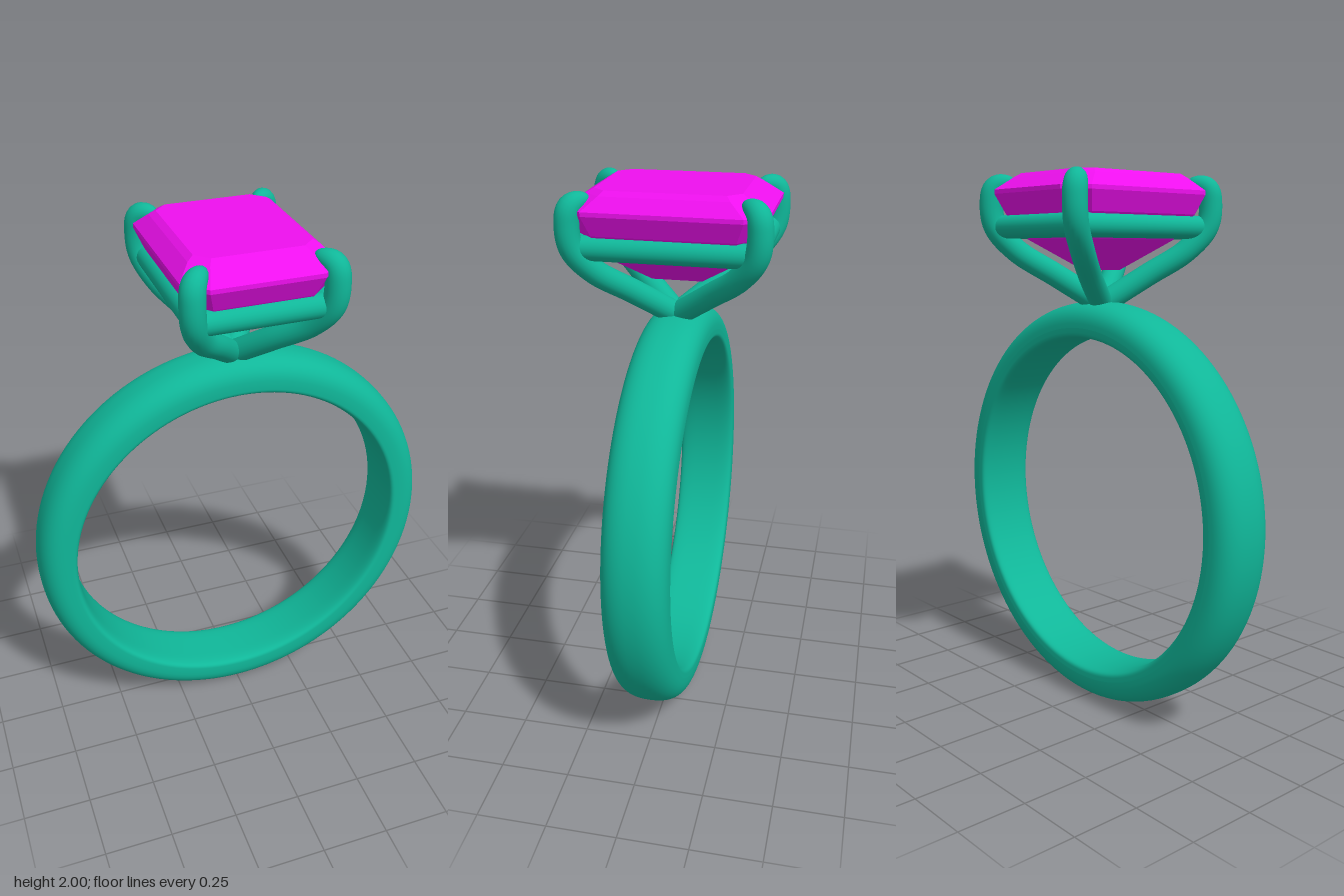
import * as THREE from 'three';
import { mergeVertices } from 'three/addons/utils/BufferGeometryUtils.js';

const metal = new THREE.MeshStandardMaterial({ color: 0x10b799 });
const gem = new THREE.MeshStandardMaterial({ color: 0xee10ee, flatShading: true });

function add(parent, name, geometry, material) {
  const mesh = new THREE.Mesh(geometry, material);
  mesh.name = name;
  parent.add(mesh);
  return mesh;
}

// Band section: domed outside, nearly flat inside with small fillets
function bandGeometry() {
  const points = [];
  const power = (v, n) => Math.sign(v) * Math.pow(Math.abs(v), 2 / n);
  const steps = 56;
  for (let i = 0; i <= steps; i++) {
    const a = (i / steps) * Math.PI * 2;
    const s = i % (steps / 2) === 0 ? 0 : Math.sin(a);
    const outer = s >= 0;
    const n = outer ? 2.5 : 5;
    points.push(new THREE.Vector2(
      0.675 + (outer ? 0.095 : 0.04) * power(s, n),
      -0.115 * power(Math.cos(a), n)));
  }
  return new THREE.LatheGeometry(points, 128).rotateX(Math.PI / 2);
}

// Tube whose radius follows a rule along its length
function taperedTube(curve, segments, radiusAt) {
  const sides = 20;
  const g = new THREE.TubeGeometry(curve, segments, 1, sides);
  const pos = g.attributes.position;
  const v = new THREE.Vector3();
  for (let i = 0; i <= segments; i++) {
    const c = curve.getPointAt(i / segments);
    for (let j = 0; j <= sides; j++) {
      const k = i * (sides + 1) + j;
      v.fromBufferAttribute(pos, k).sub(c).multiplyScalar(radiusAt(i / segments)).add(c);
      pos.setXYZ(k, v.x, v.y, v.z);
    }
  }
  g.deleteAttribute('uv');
  g.deleteAttribute('normal');
  const merged = mergeVertices(g, 1e-5);
  merged.computeVertexNormals();
  return merged;
}

// Step-cut stone from stacked rectangles with cut corners
function stoneGeometry() {
  // height, half width, half depth, corner cut
  const rows = [
    [2.0, 0.2, 0.25, 0.045],
    [1.985, 0.222, 0.275, 0.055],
    [1.94, 0.265, 0.345, 0.075],
    [1.925, 0.265, 0.345, 0.075],
    [1.855, 0.235, 0.31, 0.065],
    [1.765, 0.165, 0.25, 0.045],
    [1.655, 0, 0.09, 0],
  ];
  const loops = rows.map(([y, x, z, c]) => [
    [x - c, z], [x, z - c], [x, c - z], [x - c, -z],
    [c - x, -z], [-x, c - z], [-x, z - c], [c - x, z],
  ].map(([px, pz]) => [px, y, pz]));
  const out = [];
  for (let i = 0; i < 8; i++) {
    const j = (i + 1) % 8;
    out.push(0, rows[0][0], 0, ...loops[0][i], ...loops[0][j]);
    for (let r = 0; r < rows.length - 1; r++) {
      const u = loops[r], l = loops[r + 1];
      out.push(...l[i], ...l[j], ...u[j], ...l[i], ...u[j], ...u[i]);
    }
  }
  const g = new THREE.BufferGeometry();
  g.setAttribute('position', new THREE.Float32BufferAttribute(out, 3));
  g.computeVertexNormals();
  return g;
}

export function createModel() {
  const model = new THREE.Group();
  model.name = 'ring';

  const band = add(model, 'band', bandGeometry(), metal);
  band.position.y = 0.77;

  add(model, 'stone', stoneGeometry(), gem);

  const setting = new THREE.Group();
  setting.name = 'setting';
  model.add(setting);

  // Four claws sweep up from the band and fold over the stone's corners
  const path = [
    [0, 1.53, 0], [0.1, 1.637, 0.14], [0.19, 1.725, 0.25], [0.234, 1.81, 0.312],
    [0.241, 1.89, 0.323], [0.232, 1.95, 0.312], [0.182, 1.975, 0.258],
  ];
  const clawRadius = (t) => {
    if (t < 0.84) return 0.043;
    const k = (t - 0.84) / 0.16;
    return 0.043 * Math.sqrt(Math.max(1 - k * k, 0.0004));
  };
  for (const sx of [1, -1]) {
    for (const sz of [1, -1]) {
      const curve = new THREE.CatmullRomCurve3(
        path.map(([x, y, z]) => new THREE.Vector3(sx * x, y, sz * z)));
      const name = (sz > 0 ? 'front' : 'back') + (sx > 0 ? 'Left' : 'Right') + 'Claw';
      add(setting, name, taperedTube(curve, 72, clawRadius), metal);
    }
  }

  // Rectangular gallery rail joining the claws beneath the stone
  for (const s of [1, -1]) {
    const cross = add(setting, s > 0 ? 'frontRail' : 'backRail',
      new THREE.CylinderGeometry(0.042, 0.042, 0.44, 24).rotateZ(Math.PI / 2), metal);
    cross.position.set(0, 1.81, s * 0.295);
    const side = add(setting, s > 0 ? 'leftRail' : 'rightRail',
      new THREE.CylinderGeometry(0.042, 0.042, 0.59, 24).rotateX(Math.PI / 2), metal);
    side.position.set(s * 0.215, 1.81, 0);
  }

  return model;
}
